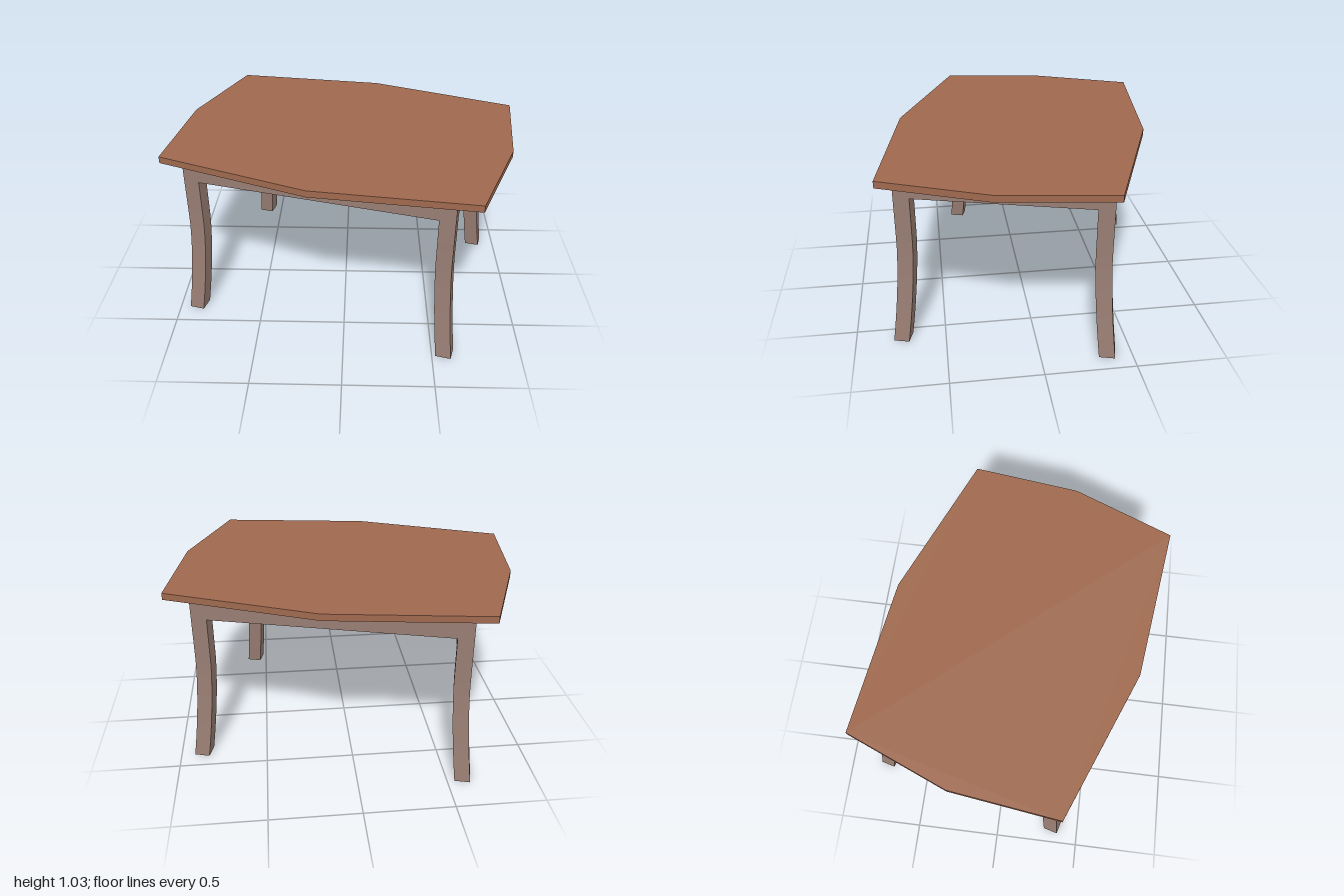
import * as THREE from 'three';

const LEG = 0.087;              // leg and apron thickness
const A = 0.753, B = 0.567;     // half length and half width of the frame
const TOP_Y = 0.99, APRON_Y = 0.873;

const topMaterial = new THREE.MeshStandardMaterial({ color: 0x9f694e });
const frameMaterial = new THREE.MeshStandardMaterial({ color: 0x987d73 });

function addMesh(parent, name, geometry, material) {
  const mesh = new THREE.Mesh(geometry, material);
  mesh.name = name;
  parent.add(mesh);
  return mesh;
}

// Square leg whose lower part sweeps outward along the diagonal
function legGeometry(sx, sz) {
  const geometry = new THREE.BoxGeometry(LEG, TOP_Y, LEG, 1, 20, 1);
  geometry.translate(0, TOP_Y / 2, 0);
  const p = geometry.attributes.position;
  for (let i = 0; i < p.count; i++) {
    const sweep = 0.048 * Math.pow(Math.max(0, 1 - p.getY(i) / 0.62), 1.6);
    p.setX(i, p.getX(i) + sx * sweep);
    p.setZ(i, p.getZ(i) + sz * sweep);
  }
  geometry.computeVertexNormals();
  return geometry;
}

export function createModel() {
  const model = new THREE.Group();
  model.name = 'table';
  const table = new THREE.Group();
  table.name = 'turnedTable';
  table.rotation.y = -THREE.MathUtils.degToRad(15);
  model.add(table);

  // Eight-sided top: a rectangle with each side pushed out at its middle
  const outline = [[0.875, 0.605], [0, 0.716], [-0.875, 0.605], [-0.953, 0],
    [-0.875, -0.605], [0, -0.716], [0.875, -0.605], [0.953, 0]];
  const shape = new THREE.Shape(outline.map(([x, y]) => new THREE.Vector2(x, y)));
  const topGeometry = new THREE.ExtrudeGeometry(shape, { depth: 0.038, bevelEnabled: false });
  topGeometry.rotateX(-Math.PI / 2);
  addMesh(table, 'tableTop', topGeometry, topMaterial).position.y = TOP_Y;

  // Frame under the top, very slightly off centre
  const frame = new THREE.Group();
  frame.name = 'frame';
  frame.position.set(-0.013, 0, -0.008);
  table.add(frame);

  const legX = A - LEG / 2, legZ = B - LEG / 2;
  const apronH = TOP_Y - APRON_Y, apronY = (TOP_Y + APRON_Y) / 2;
  for (const s of [1, -1]) {
    // Aprons run between the legs, flush with their outer faces
    addMesh(frame, s > 0 ? 'frontApron' : 'backApron',
      new THREE.BoxGeometry(2 * (A - LEG), apronH, LEG), frameMaterial)
      .position.set(0, apronY, s * legZ);
    addMesh(frame, s > 0 ? 'leftApron' : 'rightApron',
      new THREE.BoxGeometry(LEG, apronH, 2 * (B - LEG)), frameMaterial)
      .position.set(s * legX, apronY, 0);
    for (const t of [1, -1]) {
      const name = (t > 0 ? 'front' : 'back') + (s > 0 ? 'Left' : 'Right') + 'Leg';
      addMesh(frame, name, legGeometry(s, t), frameMaterial)
        .position.set(s * legX, 0, t * legZ);
    }
  }
  return model;
}
